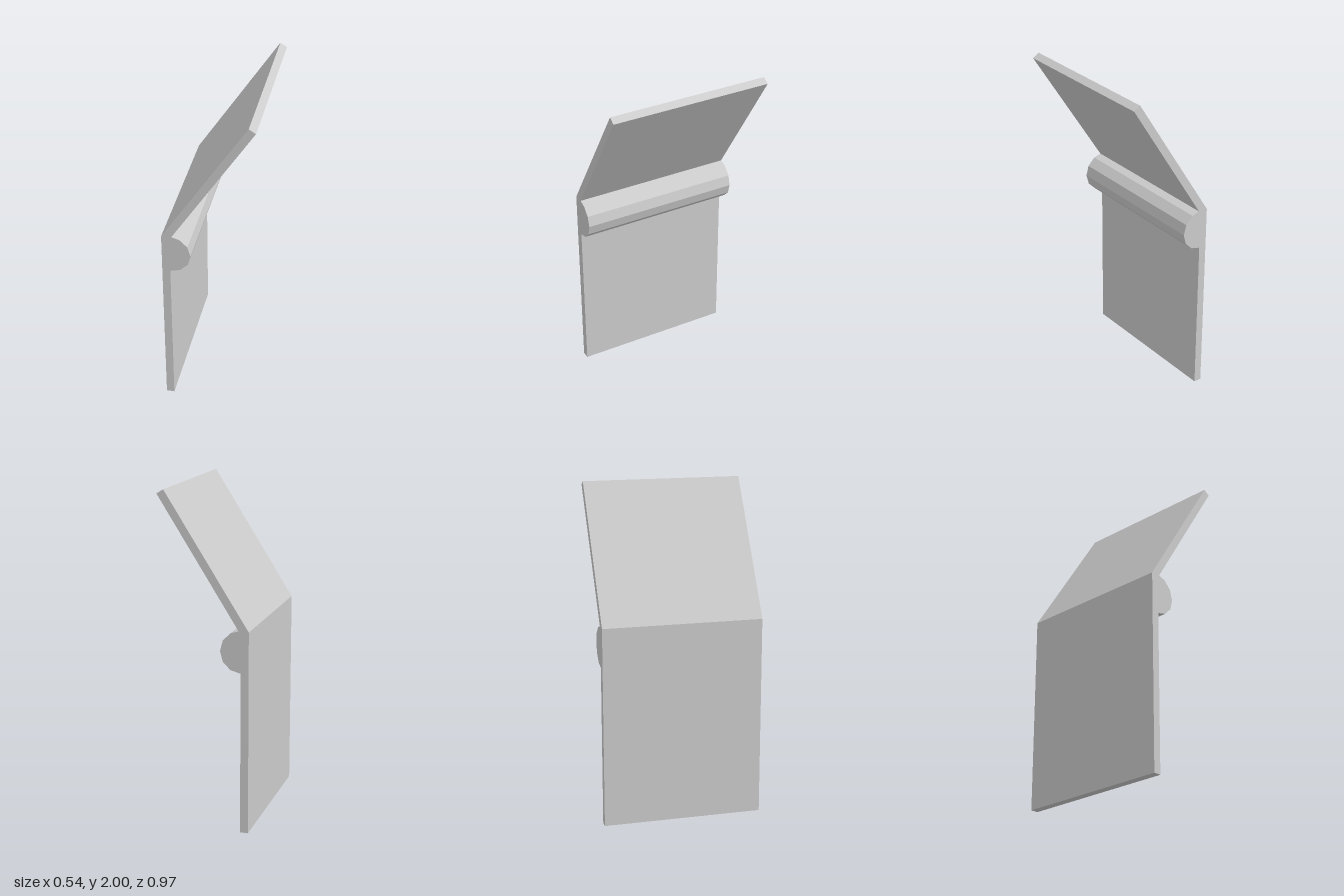
import * as THREE from 'three';

const WIDTH = 0.97;

// Extrude an outline (x, y) along z, centred on z = 0
function slab(name, points, material) {
  const shape = new THREE.Shape(points.map(([x, y]) => new THREE.Vector2(x, y)));
  const geometry = new THREE.ExtrudeGeometry(shape, { depth: WIDTH, bevelEnabled: false });
  geometry.translate(0, 0, -WIDTH / 2);
  const mesh = new THREE.Mesh(geometry, material);
  mesh.name = name;
  return mesh;
}

export function createModel() {
  const group = new THREE.Group();
  group.name = 'hinge';
  const material = new THREE.MeshStandardMaterial({ color: 0xcccccc, flatShading: true });

  // Upright lower leaf
  group.add(slab('lowerLeaf', [[-0.27, 0], [-0.222, 0], [-0.222, 0.97], [-0.27, 0.97]], material));

  // Knuckle: flat back with a faceted half-round front
  const radius = 0.125, cx = -0.225, cy = 1.095, segments = 6;
  const knuckle = [[-0.27, cy - radius]];
  for (let i = 0; i <= segments; i++) {
    const a = -Math.PI / 2 + (i / segments) * Math.PI;
    knuckle.push([cx + radius * Math.cos(a), cy + radius * Math.sin(a)]);
  }
  knuckle.push([-0.21, 1.218], [-0.27, 1.215]);
  // The half-round's last point gives way to the leaf's inner corner
  knuckle.splice(segments + 1, 1);
  group.add(slab('knuckle', knuckle, material));

  // Slanted upper leaf
  group.add(slab('upperLeaf', [[-0.27, 1.215], [-0.21, 1.218], [0.27, 1.975], [0.23, 2]], material));

  return group;
}
